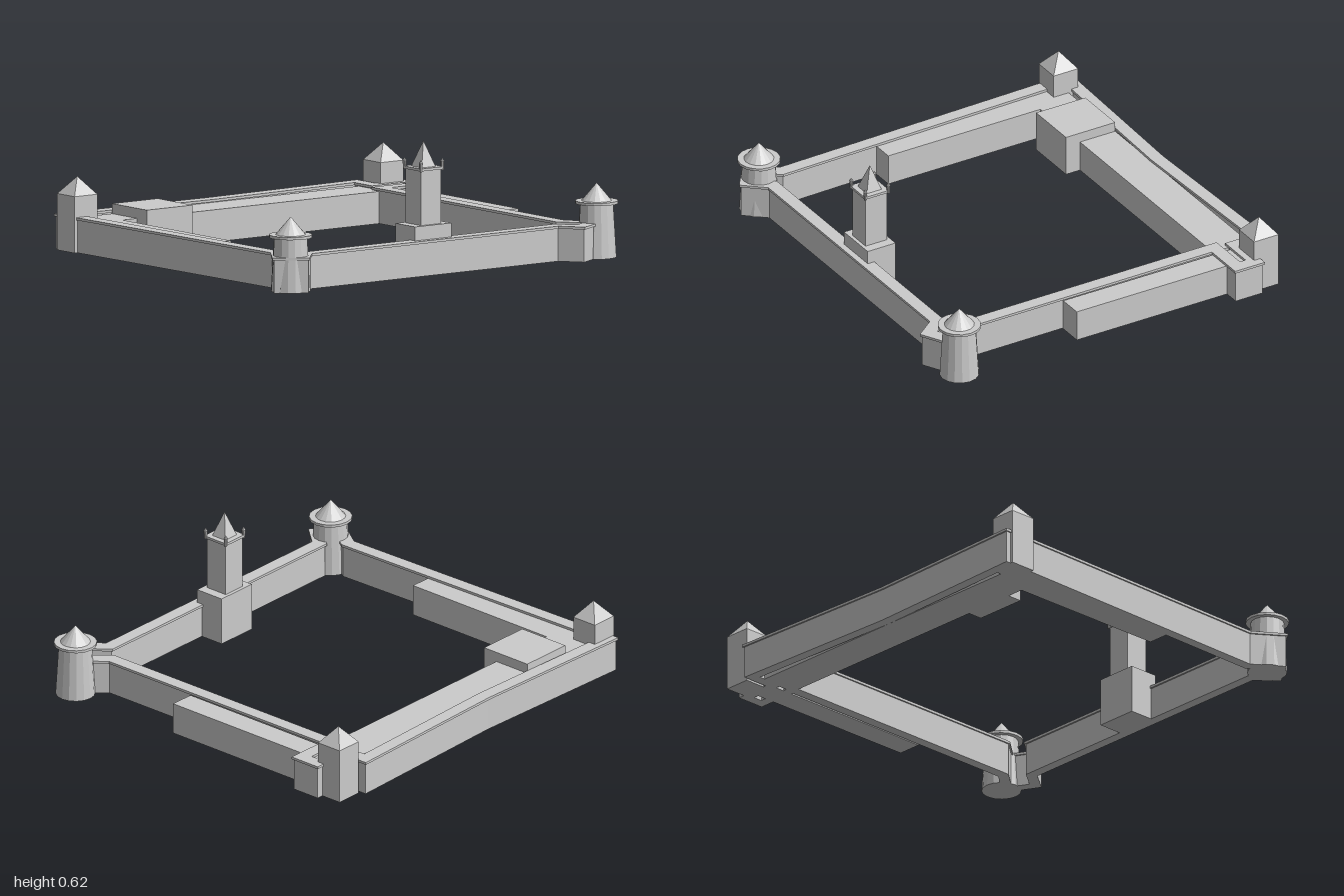
import * as THREE from 'three';

const material = new THREE.MeshStandardMaterial({ color: 0xcccccc, flatShading: true, side: THREE.DoubleSide });

function add(parent, name, geometry, x = 0, y = 0, z = 0) {
  const mesh = new THREE.Mesh(geometry, material);
  mesh.name = name;
  mesh.position.set(x, y, z);
  parent.add(mesh);
  return mesh;
}

// Box given by its extents
function block(parent, name, x0, x1, y0, y1, z0, z1) {
  return add(parent, name, new THREE.BoxGeometry(x1 - x0, y1 - y0, z1 - z0),
    (x0 + x1) / 2, (y0 + y1) / 2, (z0 + z1) / 2);
}

// Square pyramid with sides along the axes
function pyramid(parent, name, width, height, x, y, z) {
  const g = new THREE.ConeGeometry(width / Math.SQRT2, height, 4).rotateY(Math.PI / 4);
  return add(parent, name, g, x, y + height / 2, z);
}

// Mitred offset of a closed path of [x, z] points
function offsetPath(path, d) {
  const n = path.length;
  return path.map(([x, z], i) => {
    const p = new THREE.Vector2(x, -z);
    const [ax, az] = path[(i + n - 1) % n], [bx, bz] = path[(i + 1) % n];
    const u = p.clone().sub(new THREE.Vector2(ax, -az)).normalize();
    const v = new THREE.Vector2(bx, -bz).sub(p).normalize();
    const n1 = new THREE.Vector2(-u.y, u.x), n2 = new THREE.Vector2(-v.y, v.x);
    const m = n1.clone().add(n2).normalize();
    return p.addScaledVector(m, d / m.dot(n1));
  });
}

// Closed band of constant width following the path
function band(parent, name, path, width, y0, y1) {
  const a = offsetPath(path, width / 2), b = offsetPath(path, -width / 2);
  const aOuter = Math.abs(THREE.ShapeUtils.area(a)) > Math.abs(THREE.ShapeUtils.area(b));
  const shape = new THREE.Shape(aOuter ? a : b);
  shape.holes.push(new THREE.Path(aOuter ? b : a));
  const g = new THREE.ExtrudeGeometry(shape, { depth: y1 - y0, bevelEnabled: false });
  return add(parent, name, g.rotateX(-Math.PI / 2), 0, y0, 0);
}

export function createModel() {
  const model = new THREE.Group();
  model.name = 'walledCourtyard';

  // Curtain wall with jogs around the corner towers
  const path = [
    [-0.915, -0.88], [-0.08, -0.855], [0.782, -0.885], [0.782, -0.75], [0.962, -0.75],
    [0.962, -0.655], [0.755, -0.655], [0.76, 0.69], [0.862, 0.81], [0.74, 0.875],
    [0.67, 0.784], [-0.792, 0.784], [-0.872, 0.875], [-0.963, 0.81], [-0.877, 0.685],
  ];
  band(model, 'curtainWall', path, 0.05, 0, 0.155);
  band(model, 'wallCoping', path, 0.065, 0.153, 0.165);

  // Long ranges along the walls
  block(model, 'backRange', -0.888, 0.77, 0, 0.15, -0.83, -0.64);
  block(model, 'leftRange', 0.79, 0.91, 0, 0.15, -0.73, 0.18);
  block(model, 'rightRange', -0.885, -0.76, 0, 0.15, -0.73, 0.18);
  block(model, 'backHall', -0.675, -0.41, 0, 0.197, -0.83, -0.565);

  for (const side of [-1, 1]) {
    const x = side * 0.888;

    // Round front tower
    const round = new THREE.Group();
    round.name = 'roundTower';
    round.position.set(x, 0, 0.8);
    model.add(round);
    add(round, 'roundShaft', new THREE.CylinderGeometry(0.077, 0.092, 0.25, 16), 0, 0.125, 0);
    add(round, 'roundEaves', new THREE.CylinderGeometry(0.1, 0.1, 0.013, 16), 0, 0.256, 0);
    add(round, 'roundRoof', new THREE.ConeGeometry(0.07, 0.082, 16), 0, 0.304, 0);

    // Square back tower
    const square = new THREE.Group();
    square.name = 'squareTower';
    square.position.set(x, 0, -0.815);
    model.add(square);
    block(square, 'squareShaft', -0.066, 0.066, 0, 0.263, -0.066, 0.066);
    pyramid(square, 'squareRoof', 0.132, 0.082, 0, 0.263, 0);
  }

  // Gate tower in the front wall
  const gate = new THREE.Group();
  gate.name = 'gateTower';
  gate.position.set(-0.05, 0, 0.712);
  model.add(gate);
  block(gate, 'gateBase', -0.105, 0.105, 0, 0.23, -0.075, 0.075);
  block(gate, 'gateShaft', -0.058, 0.058, 0.23, 0.485, -0.058, 0.058);
  block(gate, 'gateCornice', -0.066, 0.066, 0.483, 0.495, -0.066, 0.066);
  pyramid(gate, 'gateSpire', 0.08, 0.12, 0, 0.495, 0);

  // Corner pinnacles
  for (const sx of [-1, 1]) for (const sz of [-1, 1]) {
    add(gate, 'pinnacleShaft', new THREE.CylinderGeometry(0.009, 0.007, 0.042, 8), sx * 0.062, 0.501, sz * 0.062);
    add(gate, 'pinnacleTip', new THREE.ConeGeometry(0.01, 0.014, 8), sx * 0.062, 0.528, sz * 0.062);
  }

  return model;
}
